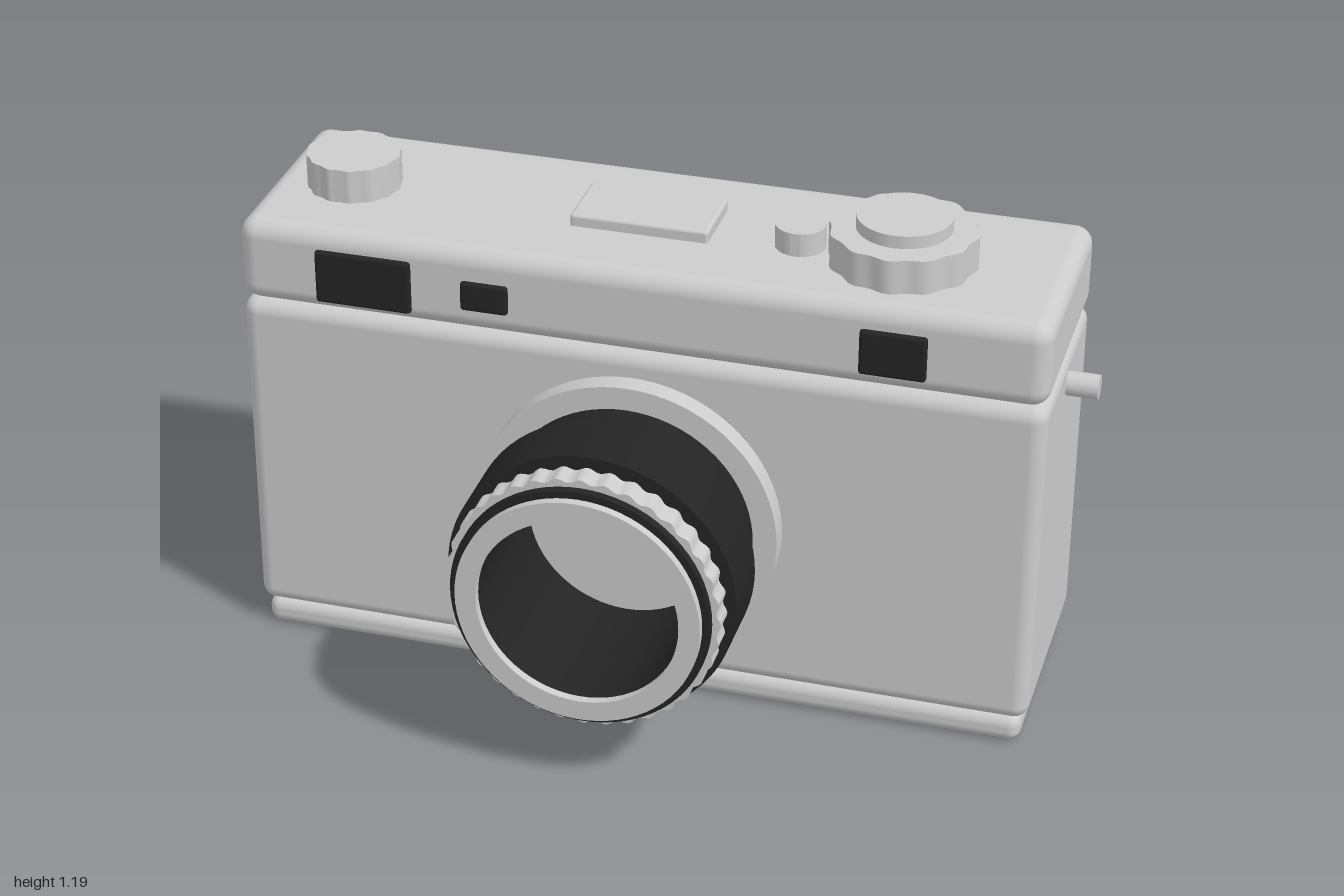
import * as THREE from 'three';
import { toCreasedNormals } from 'three/addons/utils/BufferGeometryUtils.js';
import { RoundedBoxGeometry } from 'three/addons/geometries/RoundedBoxGeometry.js';

const CENTER_Z = -0.2175; // middle of the body, front to back
const LENS_Y = 0.47;

function material(name, color) {
  const m = new THREE.MeshStandardMaterial({ color });
  m.name = name;
  return m;
}

// Closed outline with optional lobes around the rim
function outline(radius, lobes = 0, depth = 0) {
  const n = lobes ? lobes * 8 : 72;
  const points = [];
  for (let i = 0; i < n; i++) {
    const a = (i / n) * Math.PI * 2;
    const r = radius - depth * (0.5 - 0.5 * Math.cos(a * lobes));
    points.push(new THREE.Vector2(r * Math.cos(a), r * Math.sin(a)));
  }
  return points;
}

// Solid disc or hollow ring along z, with sharp rims and smooth walls
function disc(radius, depth, { inner = 0, lobes = 0, notch = 0 } = {}) {
  const shape = new THREE.Shape(outline(radius, lobes, notch));
  if (inner) shape.holes.push(new THREE.Path(outline(inner)));
  const geo = new THREE.ExtrudeGeometry(shape, { depth, bevelEnabled: false });
  return toCreasedNormals(geo, 0.6);
}

export function createModel() {
  const silver = material('silver', 0xcccccc);
  const black = material('black', 0x242424);
  const camera = new THREE.Group();
  camera.name = 'camera';

  function add(parent, name, geo, mat, x = 0, y = 0, z = 0) {
    const mesh = new THREE.Mesh(geo, mat);
    mesh.name = name;
    mesh.position.set(x, y, z);
    parent.add(mesh);
    return mesh;
  }

  // Body: base plate, main case and top housing
  function slab(name, width, y0, y1, depth, radius) {
    const geo = new RoundedBoxGeometry(width, y1 - y0, depth, 5, radius);
    add(camera, name, geo, silver, 0, (y0 + y1) / 2, CENTER_Z);
  }
  slab('basePlate', 1.824, 0, 0.068, 0.52, 0.028);
  slab('mainCase', 1.856, 0.065, 0.88, 0.535, 0.036);
  slab('topHousing', 1.856, 0.878, 1.08, 0.535, 0.042);

  // Lens: stacked rings around an open bore
  const lens = new THREE.Group();
  lens.name = 'lens';
  lens.position.y = LENS_Y;
  camera.add(lens);
  const bore = 0.23;
  function ring(name, z0, z1, radius, mat, options = { inner: bore }) {
    add(lens, name, disc(radius, z1 - z0, options), mat, 0, 0, z0);
  }
  ring('mountFlange', 0.04, 0.1, 0.35, silver, {});
  ring('barrel', 0.1, 0.215, 0.295, black);
  ring('focusGrip', 0.215, 0.375, 0.33, black);
  ring('barrelNeck', 0.375, 0.465, 0.295, black);
  ring('apertureRing', 0.39, 0.445, 0.314, silver, { inner: 0.285, lobes: 36, notch: 0.009 });
  ring('frontRim', 0.465, 0.485, 0.278, silver);

  // Dials and knobs standing on the top housing
  function knob(name, x, z, radius, y0, y1, options) {
    const geo = disc(radius, y1 - y0, options);
    geo.rotateX(-Math.PI / 2);
    add(camera, name, geo, silver, x, y0, z);
  }
  knob('rewindKnob', -0.735, -0.205, 0.109, 1.07, 1.16, { lobes: 14, notch: 0.004 });
  knob('speedDial', 0.552, -0.183, 0.168, 1.07, 1.16, { lobes: 12, notch: 0.009 });
  knob('dialCap', 0.552, -0.185, 0.107, 1.16, 1.19);
  knob('shutterButton', 0.319, -0.187, 0.057, 1.07, 1.135);

  // Accessory shoe
  add(camera, 'accessoryShoe', new RoundedBoxGeometry(0.32, 0.04, 0.176, 3, 0.008),
    silver, -0.04, 1.088, -0.223);

  // Finder windows on the front of the housing
  const windows = [
    ['finderWindow', -0.627, 0.97, 0.225, 0.128],
    ['rangeWindow', -0.342, 0.971, 0.11, 0.07],
    ['meterWindow', 0.586, 0.97, 0.15, 0.108],
  ];
  for (const [name, x, y, w, h] of windows) {
    add(camera, name, new RoundedBoxGeometry(w, h, 0.028, 3, 0.008), black, x, y, 0.048);
  }

  // Strap lugs on both sides
  for (const side of [1, -1]) {
    const geo = new THREE.CylinderGeometry(0.028, 0.028, 0.1, 24);
    geo.rotateZ(Math.PI / 2);
    add(camera, side > 0 ? 'leftStrapLug' : 'rightStrapLug', geo, silver, side * 0.95, 0.81, -0.217);
  }

  return camera;
}
